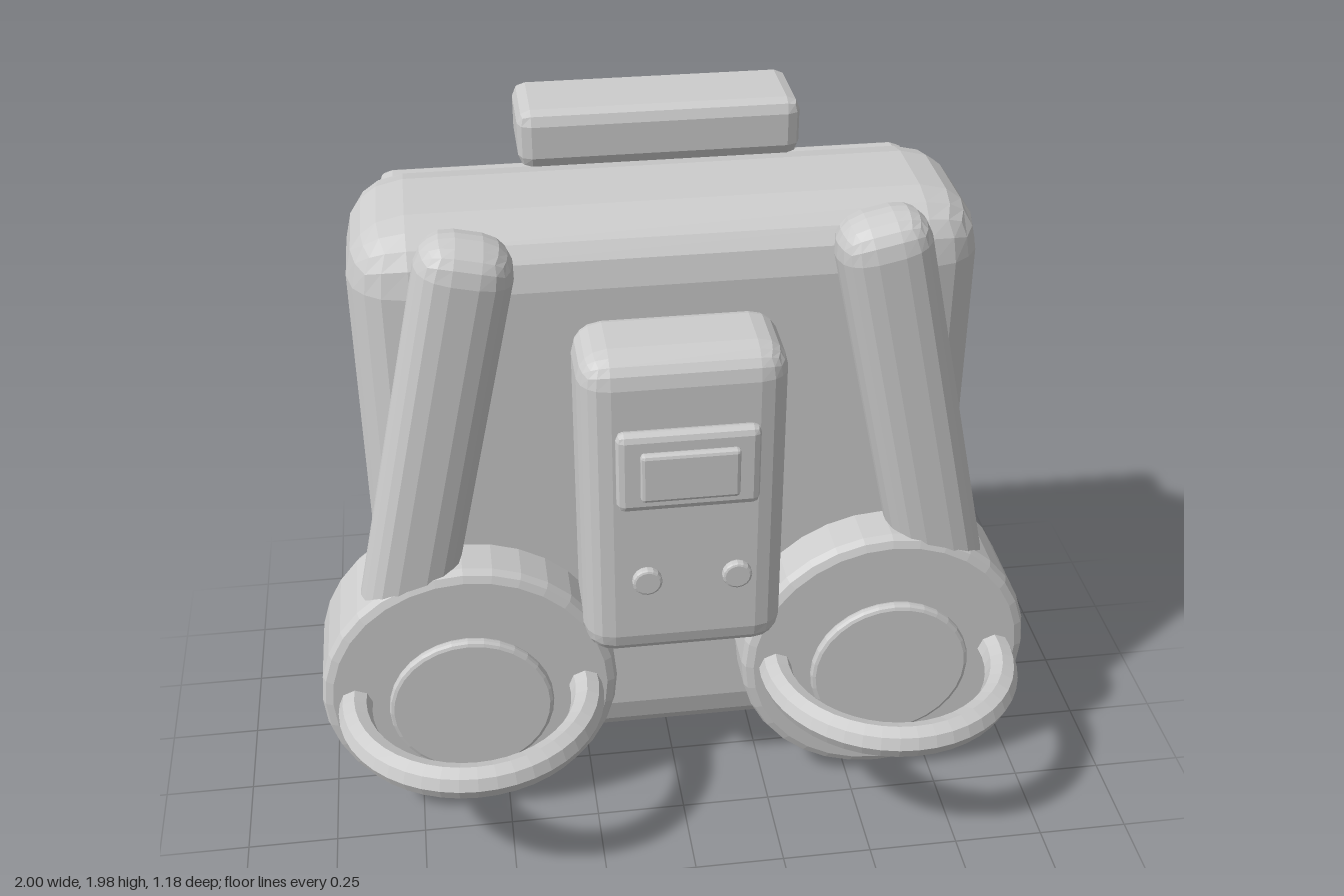
import * as THREE from 'three';
import { RoundedBoxGeometry } from 'three/addons/geometries/RoundedBoxGeometry.js';

const grey = new THREE.MeshStandardMaterial({ color: 0xcccccc, flatShading: true });
grey.name = 'plain grey';

function add(parent, name, geometry, x = 0, y = 0, z = 0) {
  const mesh = new THREE.Mesh(geometry, grey);
  mesh.name = name;
  mesh.position.set(x, y, z);
  parent.add(mesh);
  return mesh;
}

// Bevelled box given by its extents on each axis
function block(parent, name, [x0, x1], [y0, y1], [z0, z1], radius, segments = 1) {
  const geometry = new RoundedBoxGeometry(x1 - x0, y1 - y0, z1 - z0, segments, radius);
  return add(parent, name, geometry, (x0 + x1) / 2, (y0 + y1) / 2, (z0 + z1) / 2);
}

// Disc with bevelled rims, its axis along z
function disc(radius, depth, bevel, sides) {
  const h = depth / 2;
  const profile = [
    [0, -h], [radius - bevel, -h], [radius - bevel * 0.3, -h + bevel * 0.3], [radius, -h + bevel],
    [radius, h - bevel], [radius - bevel * 0.3, h - bevel * 0.3], [radius - bevel, h], [0, h],
  ].map(([r, y]) => new THREE.Vector2(r, y));
  return new THREE.LatheGeometry(profile, sides).rotateX(Math.PI / 2);
}

export function createModel() {
  const model = new THREE.Group();
  model.name = 'backpack';

  // Main pack, back roll, floating handle and base
  block(model, 'packBody', [-0.825, 0.825], [0.085, 1.775], [-0.49, 0.045], 0.16, 2);
  block(model, 'backRoll', [-0.735, 0.735], [1.42, 1.7], [-0.595, -0.39], 0.04);
  block(model, 'topHandle', [-0.365, 0.365], [1.83, 1.985], [-0.46, -0.205], 0.035);
  block(model, 'basePlate', [-0.71, 0.71], [0.008, 0.19], [-0.48, -0.225], 0.03);
  block(model, 'baseBumper', [-0.64, 0.64], [0.02, 0.24], [-0.4, -0.1], 0.08);

  // Control panel with screen
  block(model, 'controlPanel', [-0.27, 0.27], [0.595, 1.527], [-0.02, 0.275], 0.08, 2);
  block(model, 'screenFrame', [-0.185, 0.185], [1.117, 1.347], [0.285, 0.332], 0.02);
  block(model, 'screen', [-0.127, 0.127], [1.165, 1.305], [0.334, 0.362], 0.01);

  for (const side of [-1, 1]) {
    const prefix = side > 0 ? 'left' : 'right';
    add(model, prefix + 'Button', disc(0.039, 0.026, 0.007, 16), side * 0.117, 0.943, 0.387);

    // Leaning shoulder strap
    const strap = new RoundedBoxGeometry(0.25, 1.2, 0.21, 2, 0.09);
    add(model, prefix + 'Strap', strap, side * 0.637, 1.21, 0.075).rotation.z = side * 0.215;

    // Drum with hub plate and horizontal hoop
    const drum = new THREE.Group();
    drum.name = prefix + 'Drum';
    drum.position.set(side * 0.588, 0.45, 0);
    add(drum, 'drumBody', disc(0.41, 0.3, 0.03, 32), 0, 0, 0.036);
    add(drum, 'hubPlate', disc(0.226, 0.034, 0.012, 32), 0, 0, 0.232);
    const hoop = new THREE.TorusGeometry(0.32, 0.046, 8, 28, Math.PI + 0.8);
    hoop.rotateZ(-0.4).rotateX(Math.PI / 2);
    add(drum, 'hoop', hoop, 0, 0, 0.218);
    model.add(drum);
  }
  return model;
}
